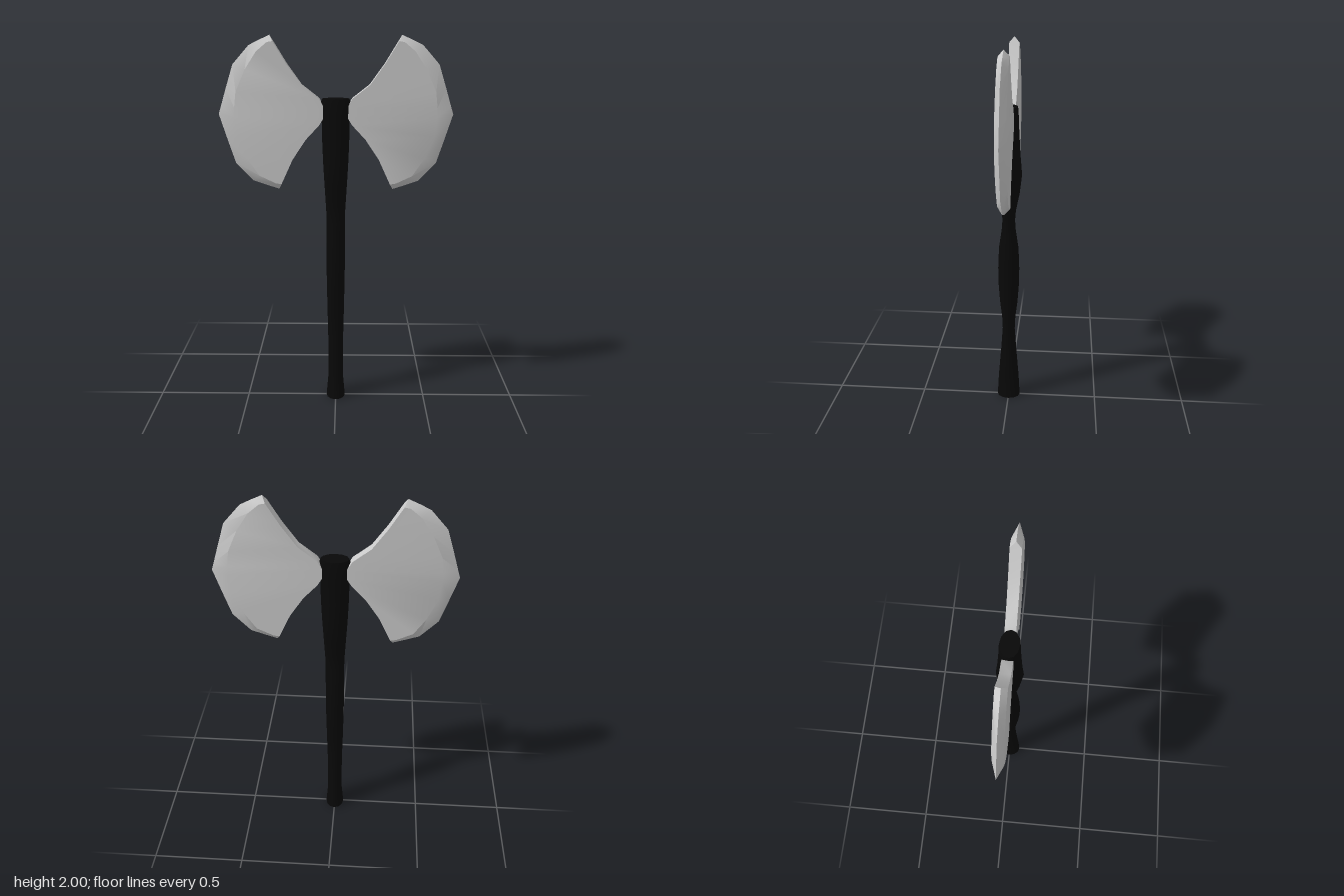
import * as THREE from 'three';
import { toCreasedNormals } from 'three/addons/utils/BufferGeometryUtils.js';

// Handle stations: [height, half width in x, half depth in z]
const HANDLE = [
  [0, 0.052, 0.064], [0.13, 0.041, 0.057], [0.3, 0.041, 0.043], [0.43, 0.043, 0.034],
  [0.5, 0.045, 0.037], [0.6, 0.047, 0.049], [0.7, 0.049, 0.056], [0.8, 0.05, 0.058],
  [0.92, 0.05, 0.053], [1.03, 0.05, 0.037], [1.08, 0.05, 0.034], [1.13, 0.053, 0.038],
  [1.23, 0.059, 0.058], [1.33, 0.065, 0.07], [1.45, 0.07, 0.06], [1.6, 0.073, 0.052],
  [1.67, 0.075, 0.05], [1.685, 0.07, 0.047],
];

// Blade rows, upper tip to lower tip: [inner edge x, y, bevel start x, y, cutting edge x, y]
const BLADE = [
  [0.333, 2, 0.333, 2, 0.333, 2],
  [0.317, 1.97, 0.345, 1.965, 0.387, 1.976],
  [0.25, 1.86, 0.4, 1.92, 0.44, 1.95],
  [0.175, 1.755, 0.46, 1.83, 0.525, 1.855],
  [0.085, 1.685, 0.51, 1.72, 0.564, 1.735],
  [0.06, 1.64, 0.52, 1.64, 0.592, 1.645],
  [0.06, 1.59, 0.52, 1.59, 0.605, 1.605],
  [0.085, 1.55, 0.51, 1.49, 0.565, 1.475],
  [0.155, 1.475, 0.46, 1.375, 0.525, 1.35],
  [0.225, 1.37, 0.4, 1.285, 0.435, 1.255],
  [0.285, 1.24, 0.315, 1.245, 0.368, 1.232],
  [0.3, 1.21, 0.3, 1.21, 0.3, 1.21],
];
const BLADE_Z = -0.004;
const BLADE_HALF = 0.027;

// A turned unit column, stretched to an oval at every station, with closed ends
function handleGeometry() {
  const stations = [HANDLE[0], ...HANDLE, HANDLE[HANDLE.length - 1]];
  const last = stations.length - 1;
  const profile = stations.map(([y], j) => new THREE.Vector2(j === 0 || j === last ? 0 : 1, y));
  const geometry = new THREE.LatheGeometry(profile, 12);
  const p = geometry.attributes.position;
  for (let i = 0; i < p.count; i++) {
    const [, rx, rz] = stations[i % stations.length];
    p.setX(i, p.getX(i) * rx);
    p.setZ(i, p.getZ(i) * rz);
  }
  return toCreasedNormals(geometry, Math.PI / 4);
}

// Five-cornered sections joined from tip to tip; side is +1 or -1
function bladeGeometry(side) {
  const positions = [];
  const index = [];
  const last = BLADE.length - 1;
  BLADE.forEach(([ix, iy, bx, by, ex, ey], i) => {
    const h = i === 0 || i === last ? 0 : BLADE_HALF;
    const section = [[ix, iy, h], [bx, by, h], [ex, ey, 0], [bx, by, -h], [ix, iy, -h]];
    for (const [x, y, z] of section) positions.push(side * x, y, BLADE_Z + z);
  });
  const triangle = (a, b, c) => index.push(...(side > 0 ? [a, b, c] : [a, c, b]));
  for (let i = 0; i < last; i++) {
    for (let k = 0; k < 5; k++) {
      const a = i * 5 + k, b = i * 5 + ((k + 1) % 5);
      if (i > 0) triangle(a, a + 5, b);
      if (i < last - 1) triangle(b, a + 5, b + 5);
    }
  }
  const geometry = new THREE.BufferGeometry();
  geometry.setAttribute('position', new THREE.Float32BufferAttribute(positions, 3));
  geometry.setIndex(index);
  return toCreasedNormals(geometry, Math.PI / 7);
}

export function createModel() {
  const group = new THREE.Group();
  group.name = 'doubleAxe';
  const add = (name, geometry, color) => {
    const mesh = new THREE.Mesh(geometry, new THREE.MeshStandardMaterial({ color }));
    mesh.name = name;
    group.add(mesh);
  };
  add('handle', handleGeometry(), 0x080808);
  add('leftBlade', bladeGeometry(1), 0xcccccc);
  add('rightBlade', bladeGeometry(-1), 0xcccccc);
  return group;
}
